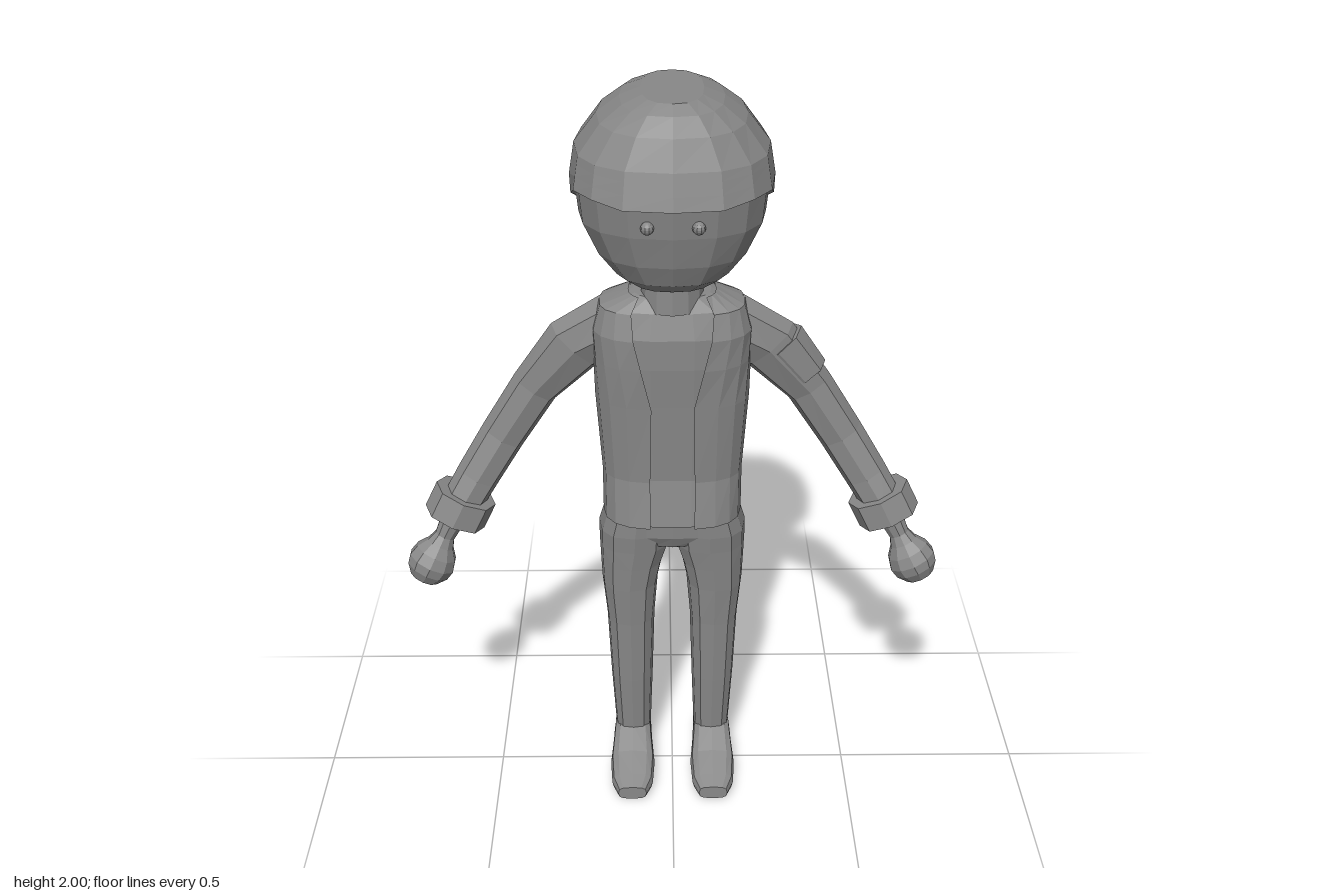
import * as THREE from 'three';

const material = new THREE.MeshStandardMaterial({ color: 0x888888, flatShading: true, side: THREE.DoubleSide });

// Piecewise-linear lookup in rows [key, a, b, ...] with ascending keys
function lookup(rows, key) {
  let i = 1;
  while (i < rows.length - 1 && key > rows[i][0]) i++;
  const a = rows[i - 1], b = rows[i];
  const k = THREE.MathUtils.clamp((key - a[0]) / (b[0] - a[0]), 0, 1);
  return a.map((v, j) => v + (b[j] - v) * k);
}

const spow = (v, e) => Math.sign(v) * Math.abs(v) ** (2 / e);

// Rounded-square ring lying across x (tilted upward by tilt) and z
function ring(c, rx, rz, { n = 12, e = 2.4, tilt = 0, gap = null } = {}) {
  const pts = [];
  for (let i = 0; i < n; i++) {
    const t = gap === null ? (i / n) * Math.PI * 2
      : Math.PI / 2 + gap + (i / (n - 1)) * 2 * (Math.PI - gap);
    const u = rx * spow(Math.cos(t), e), w = rz * spow(Math.sin(t), e);
    pts.push(new THREE.Vector3(c[0] + u * Math.cos(tilt), c[1] + u * Math.sin(tilt), c[2] + w));
  }
  return pts;
}

// Level ring from a row [y, halfWidth, zFront, zBack]
const level = ([y, rx, zf, zb], opts, cx = 0, inset = 0) =>
  ring([cx, y, (zf + zb) / 2], rx - inset, (zf - zb) / 2 - inset, opts);

// Skin a list of rings, with flat caps on closed ends
function skin(rings, { closed = true, capped = true } = {}) {
  const n = rings[0].length, pos = [], index = [];
  rings.forEach(r => r.forEach(p => pos.push(p.x, p.y, p.z)));
  for (let i = 0; i < rings.length - 1; i++) {
    for (let j = 0; j < (closed ? n : n - 1); j++) {
      const a = i * n + j, b = i * n + (j + 1) % n;
      index.push(a, a + n, b, b, a + n, b + n);
    }
  }
  if (capped) {
    const last = (rings.length - 1) * n;
    for (let j = 1; j < n - 1; j++) index.push(0, j, j + 1, last, last + j + 1, last + j);
  }
  const g = new THREE.BufferGeometry();
  g.setAttribute('position', new THREE.Float32BufferAttribute(pos, 3));
  g.setIndex(index);
  g.computeVertexNormals();
  return g;
}

// Mirror in x, restoring the corner order
function mirrored(geometry) {
  const g = geometry.clone().scale(-1, 1, 1), idx = g.index.array;
  for (let i = 0; i < idx.length; i += 3) [idx[i + 1], idx[i + 2]] = [idx[i + 2], idx[i + 1]];
  g.computeVertexNormals();
  return g;
}

export function createModel() {
  const model = new THREE.Group();
  model.name = 'figure';
  const add = (name, geometry) => {
    const mesh = new THREE.Mesh(geometry, material);
    mesh.name = name;
    model.add(mesh);
  };
  const addPair = (name, geometry) => {
    add('left' + name, geometry);
    add('right' + name, mirrored(geometry));
  };

  // Head
  add('head', skin([
    [1.515, 0.07, 0.07, -0.06], [1.53, 0.10, 0.105, -0.09], [1.565, 0.145, 0.155, -0.15],
    [1.62, 0.19, 0.18, -0.19], [1.70, 0.228, 0.20, -0.21], [1.80, 0.238, 0.215, -0.22],
    [1.88, 0.20, 0.19, -0.2],
  ].map(r => level(r, { n: 16, e: 2.4 }))));
  addPair('Eye', new THREE.SphereGeometry(0.016, 10, 8).translate(0.06, 1.73, 0.202));
  add('neck', new THREE.CylinderGeometry(0.075, 0.08, 0.09, 12).translate(0, 1.5, 0));

  // Hair: a cap whose lower edge falls from the fringe to the nape
  const hairRows = [
    [1.58, 0.185, 0.19, -0.20], [1.62, 0.205, 0.20, -0.225], [1.70, 0.24, 0.22, -0.24],
    [1.78, 0.25, 0.255, -0.25], [1.87, 0.235, 0.23, -0.257], [1.94, 0.18, 0.20, -0.235],
    [1.98, 0.125, 0.165, -0.2], [2.0, 0.075, 0.13, -0.16],
  ];
  const hairEdge = [
    [-1, 1.62], [-0.8, 1.595], [-0.5, 1.67], [0, 1.745], [0.3, 1.79], [0.6, 1.80], [0.92, 1.785], [1, 1.785],
  ];
  const hairN = 16;
  const hairRing = (k, scale = 1) => Array.from({ length: hairN }, (_, i) => {
    const edge = lookup(hairEdge, Math.sin((i / hairN) * Math.PI * 2))[1];
    const y = THREE.MathUtils.lerp(edge, 1.87, k);
    const p = level(lookup(hairRows, y), { n: hairN, e: 2.5 })[i];
    return new THREE.Vector3(p.x * scale, y, p.z * scale);
  });
  add('hair', skin([
    hairRing(0, 0.85), hairRing(0), hairRing(0.4), hairRing(0.75),
    ...hairRows.slice(4).map(r => level(r, { n: hairN, e: 2.5 })),
  ]));

  // Shirt and open jacket; the fifth number sets the front opening
  const torso = [
    [0.85, 0.185, 0.10, -0.168, 0.2], [0.98, 0.185, 0.08, -0.146, 0.2], [1.2, 0.2, 0.092, -0.166, 0.16],
    [1.31, 0.203, 0.1, -0.18, 0.27], [1.39, 0.205, 0.1, -0.18, 0.36], [1.455, 0.185, 0.08, -0.14, 0.45],
    [1.49, 0.11, 0.06, -0.1, 0.75],
  ];
  add('shirt', skin(torso.map(r => level(r, { n: 18, e: 2.8 }, 0, 0.012))));
  add('jacket', skin(torso.map(r => level(r, { n: 19, e: 2.8, gap: r[4] })), { closed: false, capped: false }));

  // Sleeves, listed from wrist to shoulder as [x, y, z, rx, rz, tilt]
  const limb = (rows, n = 8) => skin(rows.map(([x, y, z, rx, rz, tilt]) =>
    ring([x, y, z], rx, rz, { n, e: 2.2, tilt })));
  addPair('Sleeve', limb([
    [0.57, 0.86, -0.025, 0.055, 0.05, 0.5], [0.52, 0.94, -0.05, 0.058, 0.052, 0.52],
    [0.45, 1.05, -0.072, 0.06, 0.052, 0.56], [0.36, 1.19, -0.075, 0.063, 0.052, 0.6],
    [0.25, 1.32, -0.06, 0.082, 0.062, 0.75], [0.15, 1.38, -0.05, 0.085, 0.07, 1.2],
  ]));
  // Thin band round the outer side of the left sleeve
  add('armband', limb([
    [0.347, 1.222, -0.073, 0.05, 0.048, 0.62], [0.346, 1.224, -0.073, 0.066, 0.056, 0.62],
    [0.272, 1.314, -0.063, 0.079, 0.062, 0.7], [0.27, 1.316, -0.063, 0.06, 0.05, 0.7],
  ]));
  addPair('Cuff', limb([
    [0.572, 0.86, -0.025, 0.05, 0.04, 0.44], [0.588, 0.825, -0.018, 0.055, 0.045, 0.44],
    [0.588, 0.825, -0.018, 0.085, 0.067, 0.44], [0.555, 0.89, -0.03, 0.085, 0.067, 0.44],
    [0.555, 0.89, -0.03, 0.05, 0.045, 0.44],
  ]));

  // Ball hand with a slim wrist reaching up into the cuff
  const profile = [[0, -0.065], [0.04, -0.053], [0.06, -0.026], [0.066, 0], [0.058, 0.03], [0.038, 0.058],
    [0.028, 0.085], [0.032, 0.12], [0.042, 0.16]].map(p => new THREE.Vector2(...p));
  const wristAxis = new THREE.Vector3(-0.075, 0.145, -0.03).normalize();
  addPair('Hand', new THREE.LatheGeometry(profile, 10)
    .applyQuaternion(new THREE.Quaternion().setFromUnitVectors(new THREE.Vector3(0, 1, 0), wristAxis))
    .translate(0.656, 0.70, 0.012));

  // Trousers, the hips narrowing to the crotch between the legs
  add('hips', skin([
    [0.745, 0.012, 0.02, -0.11], [0.765, 0.1, 0.05, -0.14], [0.80, 0.195, 0.066, -0.158], [0.87, 0.178, 0.07, -0.135],
  ].map(r => level(r, { n: 16, e: 2.8 }))));
  addPair('Leg', skin([
    [0.10, 0.05, 0.015, -0.095, 0.113], [0.3, 0.059, 0.03, -0.1, 0.115], [0.5, 0.066, 0.04, -0.11, 0.116],
    [0.62, 0.077, 0.05, -0.135, 0.117], [0.69, 0.086, 0.056, -0.15, 0.111], [0.75, 0.097, 0.062, -0.158, 0.102],
    [0.80, 0.099, 0.068, -0.16, 0.1], [0.86, 0.09, 0.07, -0.14, 0.092],
  ].map(r => level(r, { n: 12, e: 2.6 }, r[4]))));

  // Shoes, in sections from toe to heel: [z, halfWidth, bottom, top]
  addPair('Shoe', skin([
    [0.19, 0.04, 0.004, 0.045], [0.15, 0.058, 0, 0.06], [0.08, 0.063, 0, 0.088], [0.01, 0.056, 0.02, 0.125],
    [-0.025, 0.054, 0.025, 0.14], [-0.03, 0.054, 0, 0.14], [-0.095, 0.052, 0, 0.135], [-0.112, 0.04, 0.004, 0.1],
  ].map(([z, w, y0, y1]) => Array.from({ length: 12 }, (_, i) => {
    const t = (i / 12) * Math.PI * 2;
    return new THREE.Vector3(0.115 + w * spow(Math.cos(t), 3.2),
      (y0 + y1) / 2 + (y1 - y0) / 2 * spow(Math.sin(t), 3.2), z);
  }))));

  return model;
}
